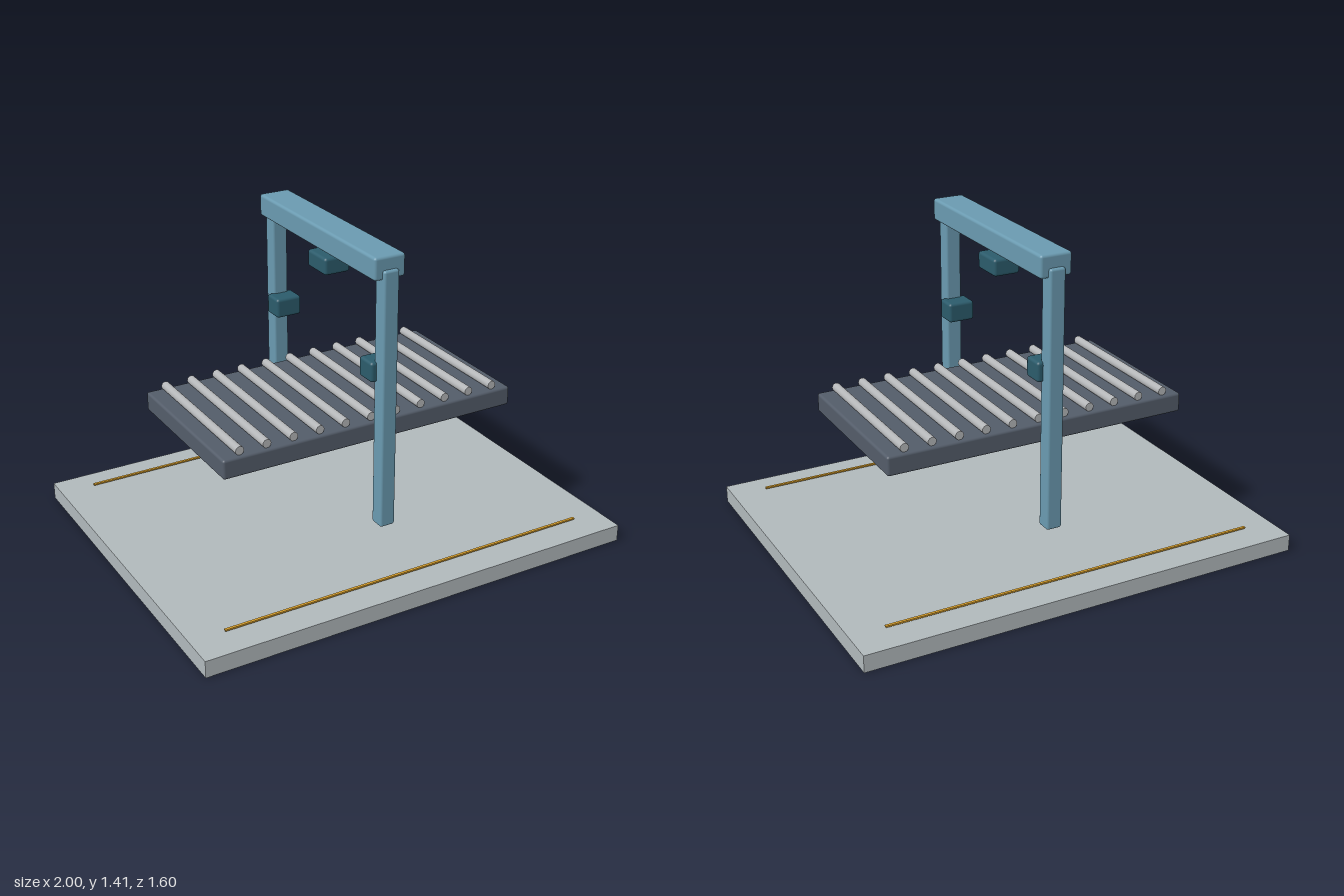
import * as THREE from 'three';
import { RoundedBoxGeometry } from 'three/addons/geometries/RoundedBoxGeometry.js';

const paint = (color) => new THREE.MeshStandardMaterial({ color });

export function createModel() {
  const model = new THREE.Group();
  model.name = 'conveyorScanner';

  const floorPaint = paint(0xb0b8bb);
  const stripePaint = paint(0xd9a02c);
  const bedPaint = paint(0x535c69);
  const rollerPaint = paint(0xb4b6b8);
  const framePaint = paint(0x6a9ab0);
  const sensorPaint = paint(0x2b5b6b);

  const add = (name, geometry, material, x, y, z) => {
    const mesh = new THREE.Mesh(geometry, material);
    mesh.name = name;
    mesh.position.set(x, y, z);
    model.add(mesh);
    return mesh;
  };
  const rounded = (w, h, d, r) => new RoundedBoxGeometry(w, h, d, 3, r);

  // Floor slab
  add('floor', new THREE.BoxGeometry(2, 0.075, 1.6), floorPaint, 0, 0.0375, 0);

  // Conveyor bed with its row of rollers
  add('conveyorBed', rounded(1.386, 0.086, 0.742, 0.011), bedPaint, 0, 0.601, 0);
  const rollerGeometry = new THREE.CylinderGeometry(0.019, 0.019, 0.706, 20).rotateX(Math.PI / 2);
  for (let i = -5; i <= 5; i++) {
    add('roller', rollerGeometry, rollerPaint, i * 0.122, 0.662, 0);
  }

  // Gantry, side sensors and floor stripes, mirrored front to back
  const postGeometry = rounded(0.07, 1.138, 0.07, 0.01);
  const sideSensorGeometry = rounded(0.12, 0.088, 0.096, 0.013);
  const stripeGeometry = new THREE.BoxGeometry(1.706, 0.007, 0.012);
  for (const [side, label] of [[1, 'front'], [-1, 'back']]) {
    add(label + 'Post', postGeometry, framePaint, 0, 0.78, side * 0.457);
    add(label + 'Sensor', sideSensorGeometry, sensorPaint, 0, 0.905, side * 0.395);
    add(label + 'Stripe', stripeGeometry, stripePaint, 0, 0.09, side * 0.672);
  }
  add('crossBeam', rounded(0.142, 0.097, 0.952, 0.012), framePaint, 0, 1.357, 0);
  add('topSensor', rounded(0.12, 0.075, 0.15, 0.013), sensorPaint, 0, 1.237, 0);

  return model;
}
